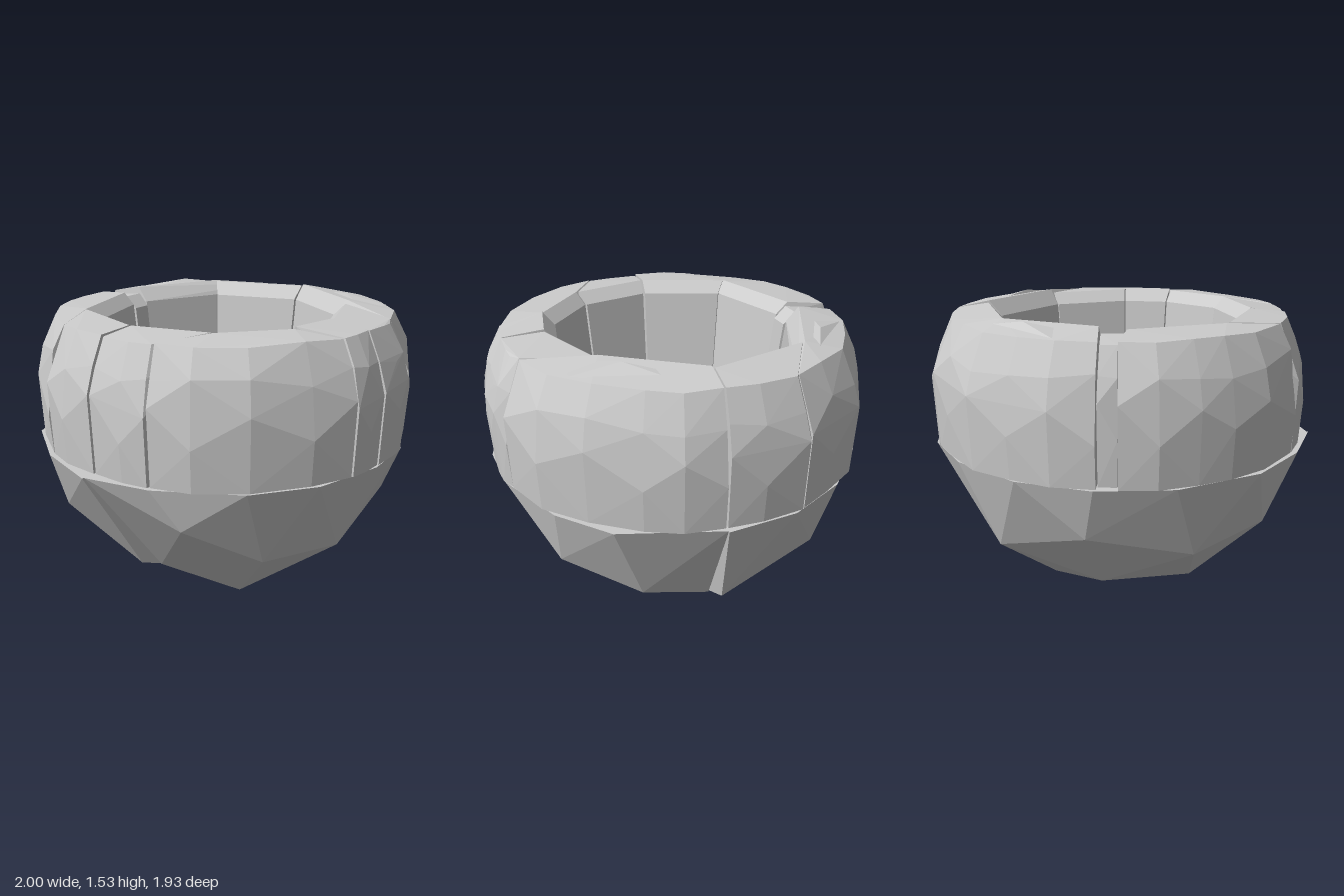
import * as THREE from 'three';
import { ConvexGeometry } from 'three/addons/geometries/ConvexGeometry.js';

const stone = new THREE.MeshStandardMaterial({ color: 0xcccccc, flatShading: true });
const SEAT = 0.84; // height where the rim stones rest on the bowl

let seed = 7;
const jitter = (amount) => {
  seed = (seed * 16807) % 2147483647;
  return (seed / 2147483647 - 0.5) * 2 * amount;
};

// Faceted solid around a few points
function boulder(name, points) {
  const mesh = new THREE.Mesh(new ConvexGeometry(points.map((p) => new THREE.Vector3(...p))), stone);
  mesh.name = name;
  return mesh;
}

// Rim stone: inner corners and outer outline as [x, z], carried up through a bulging section
function rimStone({ inner, outer, top = 1.49, crown = 1.5 }) {
  const pts = [];
  const put = ([x, z], scale, y) => pts.push([x * scale, y, z * scale]);
  for (const p of inner) {
    put(p, 1, SEAT);
    put(p, 1.13, top - 0.05);
    put(p, 1.25, crown);
  }
  outer.forEach((p, i) => {
    const end = i === 0 || i === outer.length - 1;
    put(p, 0.985, SEAT);
    put(p, 1, (i % 2 ? 1.06 : 1.2) + jitter(0.03));
    put(p, end ? 0.955 : 0.965, 1.33 + jitter(0.03));
    put(p, 0.89, top - 0.01 + jitter(0.006));
  });
  return boulder('rimStone', pts);
}

export function createModel() {
  const model = new THREE.Group();

  // Bowl, split front and back along z = 0
  model.add(boulder('bowlFront', [
    [-0.99, SEAT, 0], [-0.9, SEAT, 0.33], [-0.66, SEAT, 0.7], [-0.37, SEAT, 0.89], [0, SEAT, 0.96],
    [0.3, SEAT, 0.92], [0.66, SEAT, 0.73], [0.88, SEAT, 0.5], [0.99, SEAT, 0],
    [-0.79, 0.62, 0.42], [-0.46, 0.41, 0.64], [-0.03, 0.385, 0.78], [0.53, 0.5, 0.7],
    [0.74, 0.38, 0.34], [-0.6, 0.27, 0.1], [-0.3, 0.09, 0.37], [0.2, 0.14, 0.44],
    [-0.08, 0, 0], [0.34, 0.1, 0], [0.72, 0.3, 0],
  ]));
  model.add(boulder('bowlBack', [
    [-1, SEAT, 0], [-0.9, SEAT, -0.36], [-0.7, SEAT, -0.68], [-0.32, SEAT, -0.92], [0.05, SEAT, -0.97],
    [0.42, SEAT, -0.88], [0.74, SEAT, -0.64], [0.93, SEAT, -0.35], [1, SEAT, 0],
    [-0.64, 0.26, 0], [-0.08, 0.01, 0], [0.36, 0.1, 0], [0.78, 0.31, -0.05],
    [-0.74, 0.5, -0.44], [-0.4, 0.45, -0.75], [0.1, 0.56, -0.87], [0.56, 0.4, -0.61],
    [0.05, 0.23, -0.63], [-0.38, 0.16, -0.38], [0.34, 0.09, -0.27],
  ]));

  // Ring of rim stones, seams running along x and z
  const ring = [
    { inner: [[-0.18, 0.5], [0.03, 0.52]], outer: [[-0.18, 0.955], [-0.08, 0.965], [0.028, 0.96]], crown: 1.51 },
    { inner: [[0.035, 0.52], [0.36, 0.37]], outer: [[0.035, 0.965], [0.2, 0.955], [0.29, 0.94], [0.358, 0.9]], crown: 1.5 },
    { inner: [[0.365, 0.37], [0.57, 0.005]],
      outer: [[0.365, 0.9], [0.6, 0.79], [0.77, 0.6], [0.91, 0.37], [0.975, 0.2], [0.98, 0.005]], crown: 1.52 },
    { inner: [[0.57, -0.005], [0.42, -0.395]], outer: [[0.98, -0.005], [0.97, -0.18], [0.92, -0.395]], crown: 1.51 },
    { inner: [[0.42, -0.405], [0.04, -0.54]],
      outer: [[0.91, -0.405], [0.8, -0.57], [0.65, -0.76], [0.45, -0.87], [0.25, -0.95], [0.04, -0.965]], crown: 1.515 },
    { inner: [[0.035, -0.53], [-0.055, -0.52]], outer: [[0.035, -0.93], [-0.055, -0.93]], top: 1.47, crown: 1.48 },
    { inner: [[-0.06, -0.53], [-0.42, -0.37]],
      outer: [[-0.06, -0.965], [-0.24, -0.95], [-0.42, -0.87], [-0.57, -0.78], [-0.73, -0.63], [-0.88, -0.37]] },
    { inner: [[-0.43, -0.36], [-0.53, -0.005]], outer: [[-0.885, -0.36], [-0.935, -0.2], [-0.94, -0.005]] },
    { inner: [[-0.53, 0.005], [-0.43, 0.31]], outer: [[-0.935, 0.005], [-0.93, 0.18], [-0.9, 0.31]] },
    { inner: [[-0.43, 0.32], [-0.188, 0.5]],
      outer: [[-0.89, 0.32], [-0.82, 0.51], [-0.65, 0.71], [-0.4, 0.87], [-0.188, 0.95]] },
  ];
  const rim = new THREE.Group();
  rim.name = 'rim';
  ring.forEach((s) => rim.add(rimStone(s)));

  // Thin crown chips along the high parts of the rim
  rim.add(boulder('rightCrown', [[0.42, 1.49, 0.6], [0.74, 1.49, 0.1], [0.6, 1.49, 0.62], [0.84, 1.48, 0.1], [0.58, 1.528, 0.38]]));
  rim.add(boulder('backCrown', [[0.15, 1.49, -0.7], [0.55, 1.49, -0.5], [0.22, 1.48, -0.84], [0.68, 1.48, -0.52], [0.4, 1.525, -0.64]]));
  model.add(rim);
  return model;
}
